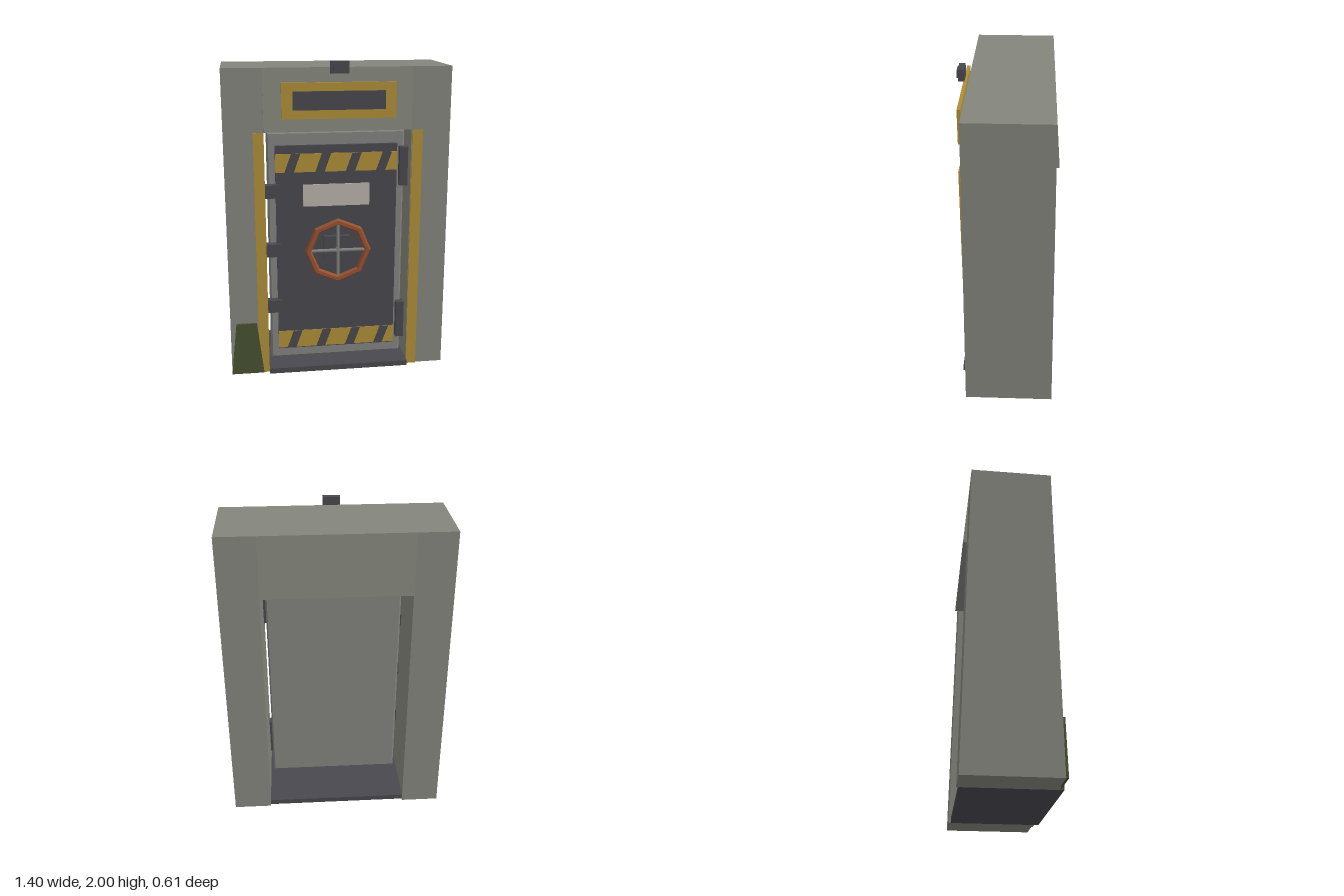
import * as THREE from 'three';

const mat = (name, color) => {
  const m = new THREE.MeshStandardMaterial({ color });
  m.name = name;
  return m;
};

export function createModel() {
  const group = new THREE.Group();
  const concrete = mat('concrete', 0x83847b);
  const steel = mat('steel', 0x82837f);
  const dark = mat('dark metal', 0x49484e);
  const yellow = mat('warning yellow', 0xae8d38);
  const green = mat('moss green', 0x465030);
  const pale = mat('pale plate', 0xb7b2aa);
  const rust = mat('rust', 0x97502f);
  rust.flatShading = true;

  const add = (name, geometry, material) => {
    const mesh = new THREE.Mesh(geometry, material);
    mesh.name = name;
    group.add(mesh);
    return mesh;
  };
  // Box given by its extents on each axis
  const box = (name, material, x0, x1, y0, y1, z0, z1) => {
    const g = new THREE.BoxGeometry(x1 - x0, y1 - y0, z1 - z0);
    g.translate((x0 + x1) / 2, (y0 + y1) / 2, (z0 + z1) / 2);
    return add(name, g, material);
  };
  // Wall block whose front and back lean inward towards the top
  const wall = (name, x0, x1, y0, y1) => {
    const mesh = box(name, concrete, x0, x1, y0, y1, -0.305, 0.253);
    const p = mesh.geometry.attributes.position;
    for (let i = 0; i < p.count; i++) {
      if (p.getY(i) > y1 - 0.001) p.setZ(i, p.getZ(i) > 0 ? 0.227 : -0.275);
    }
    mesh.geometry.computeVertexNormals();
  };
  // Flat polygon plate in the xy plane
  const plate = (name, material, points, z, depth) => {
    const shape = new THREE.Shape(points.map(([x, y]) => new THREE.Vector2(x, y)));
    const g = new THREE.ExtrudeGeometry(shape, { depth, bevelEnabled: false });
    g.translate(0, 0, z);
    return add(name, g, material);
  };

  // Surround
  wall('leftPost', 0.455, 0.698, 0, 1.96);
  wall('rightPost', -0.698, -0.455, 0, 1.96);
  wall('lintel', -0.455, 0.455, 1.58, 1.96);
  box('sill', dark, -0.455, 0.455, 0, 0.035, -0.29, 0.29);
  box('leftTrim', yellow, 0.455, 0.52, 0, 1.58, 0.253, 0.262);
  box('rightTrim', yellow, -0.52, -0.455, 0, 1.58, 0.253, 0.262);
  plate('mossPatch', green, [[-0.698, 0], [-0.49, 0], [-0.53, 0.35], [-0.66, 0.35]], 0.256, 0.012);

  // Sign and lamp above the door
  box('signFrame', yellow, -0.347, 0.347, 1.66, 1.875, 0.257, 0.278);
  box('signPanel', dark, -0.28, 0.28, 1.713, 1.825, 0.27, 0.284);
  box('lampBody', dark, -0.055, 0.055, 1.927, 2, 0.258, 0.296);
  box('lampFace', dark, -0.04, 0.04, 1.942, 1.985, 0.29, 0.305);

  // Door leaf with chamfered edges
  const b = 0.01;
  const leaf = new THREE.Shape();
  leaf.moveTo(-0.435 + b, 0.035 + b);
  leaf.lineTo(0.435 - b, 0.035 + b);
  leaf.lineTo(0.435 - b, 1.56 - b);
  leaf.lineTo(-0.435 + b, 1.56 - b);
  const leafGeo = new THREE.ExtrudeGeometry(leaf, {
    depth: 0.07, bevelEnabled: true, bevelSize: b, bevelThickness: b, bevelSegments: 1,
  });
  leafGeo.translate(0, 0, 0.05);
  add('doorLeaf', leafGeo, steel);
  box('doorPanel', dark, -0.385, 0.385, 0.11, 1.478, 0.12, 0.155);
  box('namePlate', pale, -0.213, 0.21, 1.087, 1.23, 0.153, 0.161);

  // Hazard bands with slanted stripes
  for (const y of [0.117, 1.31]) {
    const top = y + 0.118;
    box('hazardBand', yellow, -0.385, 0.385, y, top, 0.153, 0.159);
    for (let i = 0; i < 4; i++) {
      const x = -0.328 + i * 0.193;
      plate('hazardStripe', dark, [[x, y], [x + 0.058, y], [x + 0.1, top], [x + 0.042, top]], 0.157, 0.005);
    }
  }

  // Latches and hinges
  for (const y of [0.422, 0.806, 1.193]) box('latch', dark, -0.455, -0.36, y - 0.042, y + 0.042, 0.125, 0.18);
  for (const y of [0.28, 1.332]) box('hinge', dark, 0.4, 0.453, y - 0.125, y + 0.125, 0.11, 0.17);

  // Hand wheel
  const cy = 0.808;
  box('wheelMount', dark, -0.085, 0.085, cy - 0.083, cy + 0.083, 0.15, 0.187);
  add('wheelRim', new THREE.TorusGeometry(0.19, 0.022, 6, 8), rust).position.set(0, cy, 0.22);
  const axle = add('wheelAxle', new THREE.CylinderGeometry(0.012, 0.012, 0.05, 8), steel);
  axle.rotation.x = Math.PI / 2;
  axle.position.set(0, cy, 0.205);
  for (const turn of [0, Math.PI / 2]) {
    const spoke = add('wheelSpoke', new THREE.CylinderGeometry(0.011, 0.011, 0.37, 6), steel);
    spoke.rotation.z = turn;
    spoke.position.set(0, cy, 0.22);
  }
  return group;
}
